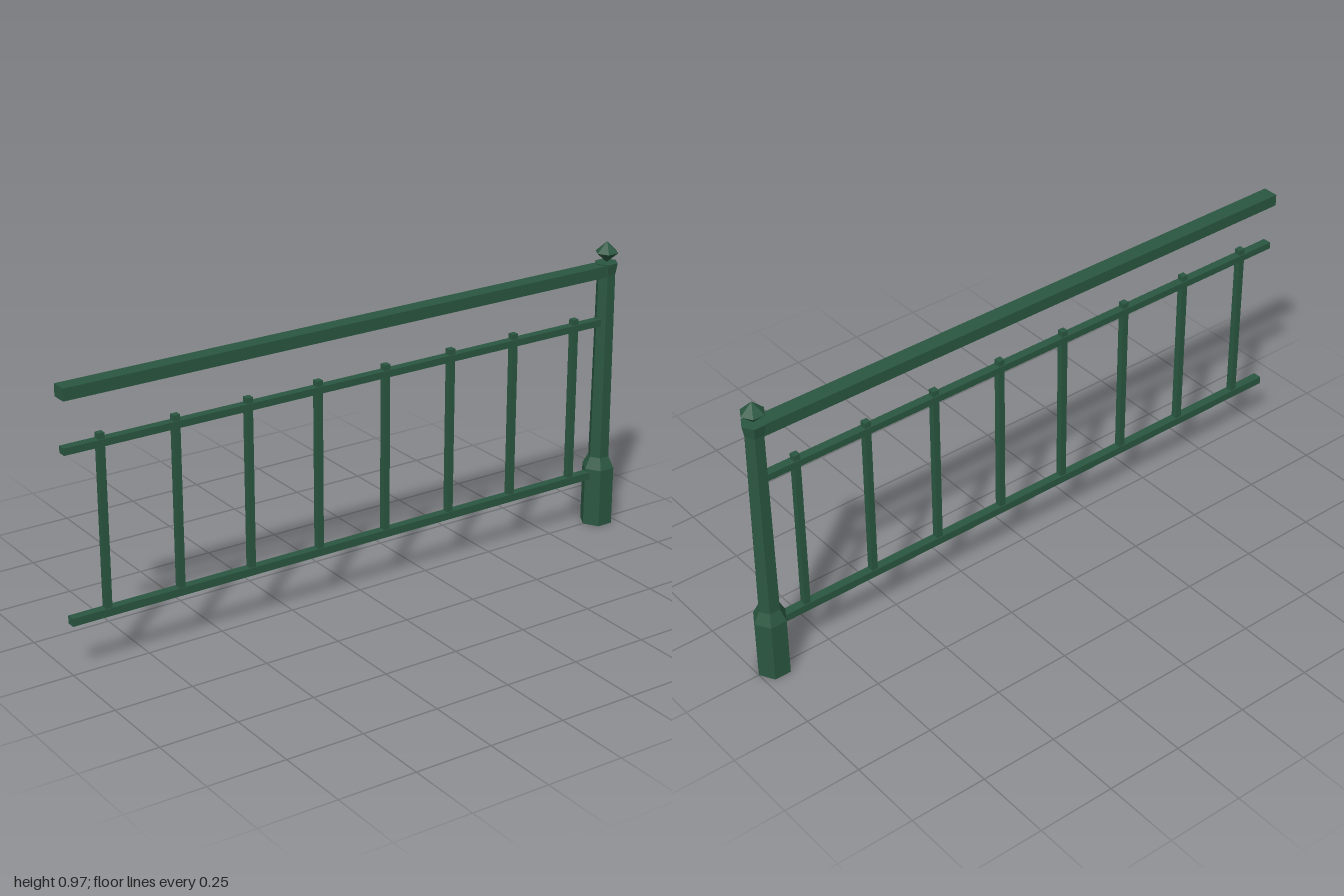
import * as THREE from 'three';

export function createModel() {
  const model = new THREE.Group();
  model.name = 'railing';
  const green = new THREE.MeshStandardMaterial({ color: 0x2b5741, flatShading: true });
  green.name = 'dark green paint';

  const postX = 0.946;

  function add(name, geometry, x, y, z = 0) {
    const mesh = new THREE.Mesh(geometry, green);
    mesh.name = name;
    mesh.position.set(x, y, z);
    model.add(mesh);
  }

  // Six-sided turned part with corners pointing along x
  function hexLathe(profile) {
    const points = profile.map(([r, y]) => new THREE.Vector2(r, y));
    return new THREE.LatheGeometry(points, 6, Math.PI / 6);
  }

  // Post: heavy foot, slightly tapered shaft and flared cap
  add('post', hexLathe([
    [0, 0], [0.054, 0], [0.054, 0.197], [0.035, 0.235],
    [0.031, 0.86], [0.038, 0.897], [0, 0.897],
  ]), postX, 0);

  // Pointed finial balanced on the cap
  add('finial', hexLathe([[0, 0.897], [0.038, 0.93], [0, 0.966]]), postX, 0);

  // Horizontal rails running from the open end into the post
  const rails = [
    ['handrail', 0.855, 0.893, 0.051],
    ['upperRail', 0.69, 0.712, 0.028],
    ['lowerRail', 0.162, 0.187, 0.028],
  ];
  for (const [name, bottom, top, depth] of rails) {
    const length = postX + 1;
    add(name, new THREE.BoxGeometry(length, top - bottom, depth),
      -1 + length / 2, (bottom + top) / 2);
  }

  // Evenly spaced balusters standing on the lower rail
  const balusterGeometry = new THREE.BoxGeometry(0.021, 0.555, 0.021);
  for (let i = 0; i < 8; i++) {
    add('baluster', balusterGeometry, -0.88 + i * 0.243, 0.4525);
  }

  return model;
}
